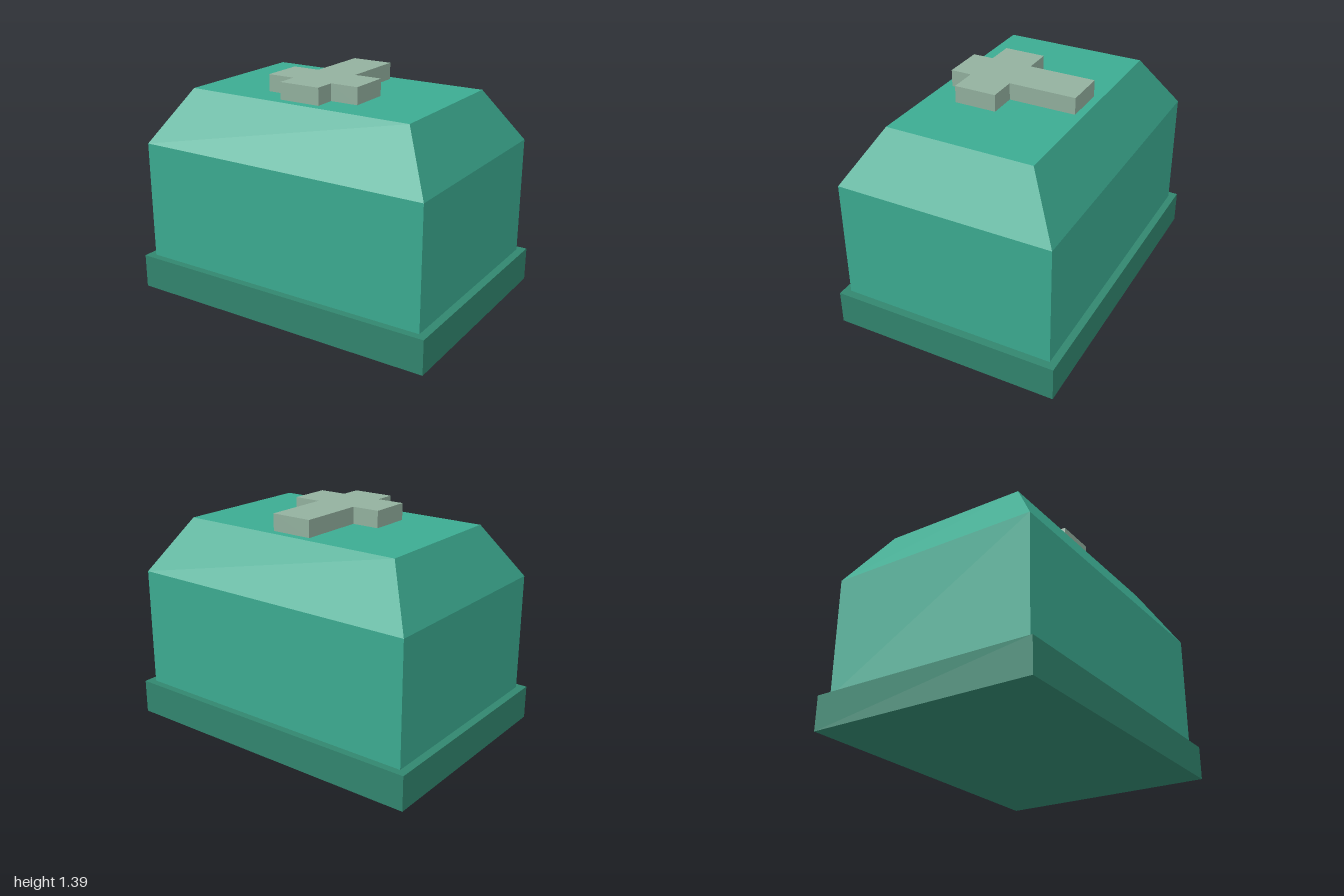
import * as THREE from 'three';

const material = (name, color) => {
  const m = new THREE.MeshStandardMaterial({ color });
  m.name = name;
  return m;
};

export function createModel() {
  const group = new THREE.Group();
  group.name = 'tomb';
  const bodyGreen = material('body green', 0x3cac92);
  const baseGreen = material('dark base green', 0x32866f);
  const sage = material('sage', 0x93b19f);

  const add = (name, geometry, mat, y) => {
    const mesh = new THREE.Mesh(geometry, mat);
    mesh.name = name;
    mesh.position.y = y;
    group.add(mesh);
  };

  // Base slab
  const baseTop = 0.213;
  add('base', new THREE.BoxGeometry(2, baseTop, 1.425), baseGreen, baseTop / 2);

  // Body: upright walls, then sloped shoulders up to a smaller flat top
  const shoulder = 0.955, top = 1.287;
  let body = new THREE.BoxGeometry(1.9, 2, 1.334, 1, 2, 1);
  const p = body.attributes.position;
  for (let i = 0; i < p.count; i++) {
    const row = Math.round(p.getY(i)) + 1;
    p.setY(i, [baseTop, shoulder, top][row]);
    if (row === 2) {
      p.setX(i, Math.sign(p.getX(i)) * 0.743);
      p.setZ(i, Math.sign(p.getZ(i)) * 0.455);
    }
  }
  body = body.toNonIndexed();
  body.computeVertexNormals();
  add('body', body, bodyGreen, 0);

  // Raised cross lying on the top, its short end toward the front
  const outline = [
    [-0.132, -0.402], [0.132, -0.402], [0.132, -0.272], [0.308, -0.272],
    [0.308, -0.012], [0.132, -0.012], [0.132, 0.405], [-0.132, 0.405],
    [-0.132, -0.012], [-0.308, -0.012], [-0.308, -0.272], [-0.132, -0.272],
  ].map(([x, y]) => new THREE.Vector2(x, y));
  const cross = new THREE.ExtrudeGeometry(new THREE.Shape(outline), { depth: 0.104, bevelEnabled: false });
  cross.rotateX(-Math.PI / 2);
  add('cross', cross, sage, top);

  return group;
}
